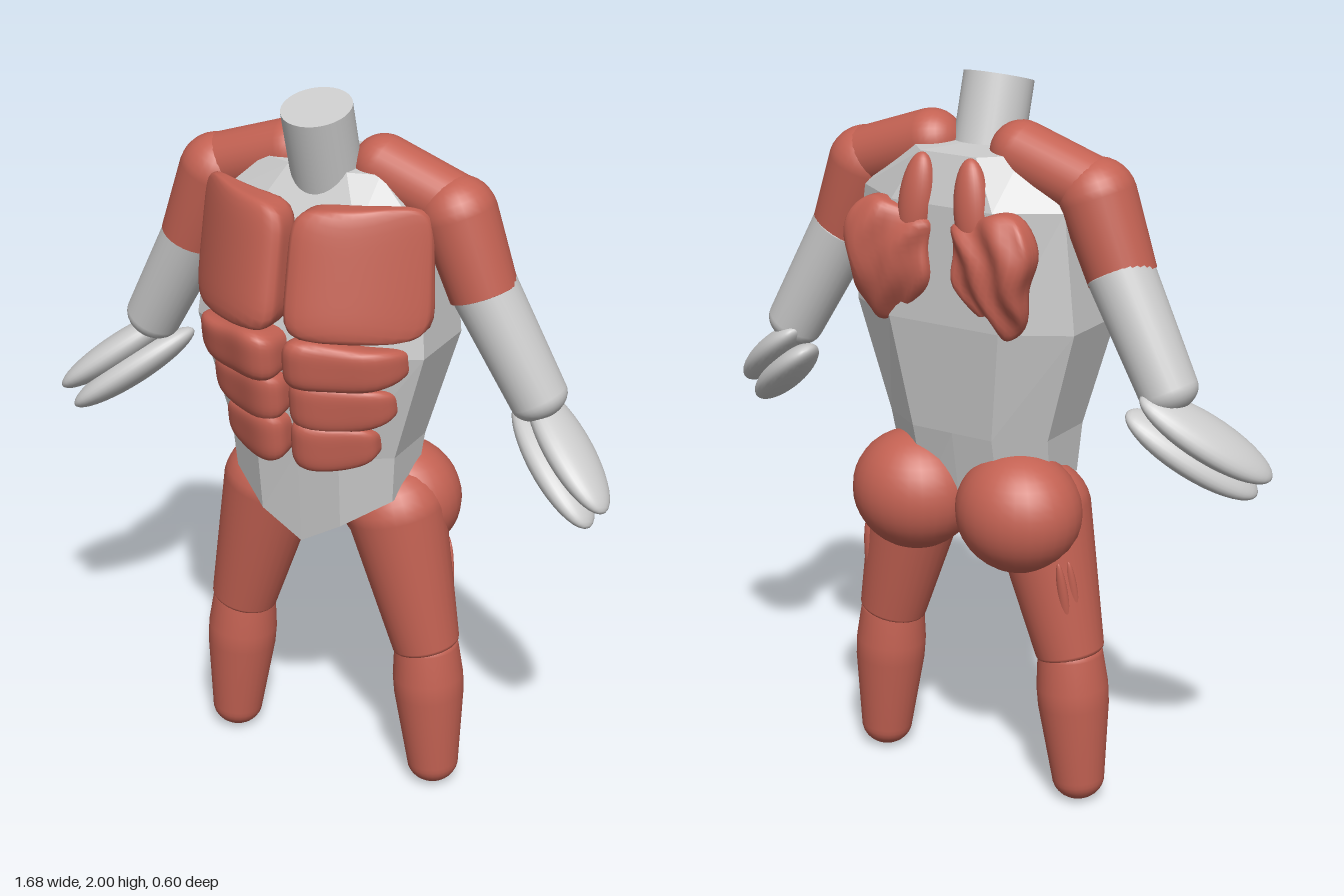
import * as THREE from 'three';

const grey = new THREE.MeshStandardMaterial({ color: 0xcccccc });
const facet = new THREE.MeshStandardMaterial({ color: 0xcccccc, flatShading: true });
const red = new THREE.MeshStandardMaterial({ color: 0xc46253 });
const UP = new THREE.Vector3(0, 1, 0);

function part(name, geometry, material) {
  const mesh = new THREE.Mesh(geometry, material);
  mesh.name = name;
  return mesh;
}

// Tapered limb from a to b with domed ends; mid holds [fraction, radius] pairs
function limb(name, material, a, b, ra, rb, { capA = 1, capB = 1, mid = [] } = {}) {
  const from = new THREE.Vector3(...a), dir = new THREE.Vector3(...b).sub(from);
  const len = dir.length(), pts = [], n = 8;
  for (let i = 0; i <= n; i++) {
    const t = (i / n) * Math.PI / 2;
    pts.push(new THREE.Vector2(ra * Math.sin(t), -ra * capA * Math.cos(t)));
  }
  mid.forEach(([f, r]) => pts.push(new THREE.Vector2(r, f * len)));
  for (let i = 0; i <= n; i++) {
    const t = (i / n) * Math.PI / 2;
    pts.push(new THREE.Vector2(rb * Math.cos(t), len + rb * capB * Math.sin(t)));
  }
  const mesh = part(name, new THREE.LatheGeometry(pts, 28), material);
  mesh.position.copy(from);
  mesh.quaternion.setFromUnitVectors(UP, dir.normalize());
  return mesh;
}

// Ellipsoid whose local y follows axis and local x follows side
function ellipsoid(name, material, centre, radii, axis = [0, 1, 0], side = [1, 0, 0]) {
  const mesh = part(name, new THREE.SphereGeometry(1, 28, 20).scale(...radii), material);
  const y = new THREE.Vector3(...axis).normalize();
  const x = new THREE.Vector3(...side);
  x.addScaledVector(y, -x.dot(y)).normalize();
  mesh.quaternion.setFromRotationMatrix(
    new THREE.Matrix4().makeBasis(x, y, new THREE.Vector3().crossVectors(x, y)));
  mesh.position.set(...centre);
  return mesh;
}

// Rounded block in [-1,1]^3 bent by rule(u, v, w) -> [x, y, z], mirrored by s
function muscle(name, s, power, rule) {
  const g = new THREE.SphereGeometry(1, 40, 28), p = g.attributes.position;
  for (let i = 0; i < p.count; i++) {
    const c = [p.getX(i), p.getY(i), p.getZ(i)];
    const k = c.reduce((sum, q) => sum + Math.abs(q) ** power, 0) ** (-1 / power);
    const [x, y, z] = rule(s * c[0] * k, c[1] * k, c[2] * k);
    p.setXYZ(i, s * x, y, z);
  }
  g.computeVertexNormals();
  return part(name, g, red);
}

// Faceted trunk lofted through ten-sided rings
function torso() {
  const rings = [ // y, half width, front z, back z
    [0.77, 0.24, 0.145, -0.13], [1.05, 0.25, 0.165, -0.18], [1.36, 0.34, 0.2, -0.22],
    [1.68, 0.31, 0.13, -0.225], [1.81, 0.17, 0.05, -0.19],
  ].map(([y, w, f, b], k) => {
    const half = [[0, f], [w / 2, f], [w, f * 0.5], [w, b * 0.55], [w / 2, b], [0, b]];
    const all = [...half, ...half.slice(1, 5).reverse().map(([x, z]) => [-x, z])];
    // the lowest ring rises to the hips in a V
    return all.map(([x, z]) => [x, k ? y : y + 0.6 * Math.abs(x), z]);
  });
  const pos = [], n = 10;
  const tri = (...c) => c.forEach((q) => pos.push(...q));
  for (let k = 0; k < rings.length - 1; k++) {
    for (let i = 0; i < n; i++) {
      const j = (i + 1) % n, lo = rings[k], hi = rings[k + 1];
      tri(lo[i], lo[j], hi[j]);
      tri(lo[i], hi[j], hi[i]);
    }
  }
  for (let i = 0; i < n; i++) {
    const j = (i + 1) % n, top = rings[rings.length - 1], low = rings[0];
    tri([0, 1.82, -0.06], top[i], top[j]);
    tri([0, 0.77, 0], low[j], low[i]);
  }
  const g = new THREE.BufferGeometry();
  g.setAttribute('position', new THREE.Float32BufferAttribute(pos, 3));
  g.computeVertexNormals();
  return part('torso', g, facet);
}

function sideParts(s) {
  const g = new THREE.Group();
  g.name = s > 0 ? 'leftSide' : 'rightSide';
  const X = (x, y, z) => [s * x, y, z];
  const mix = THREE.MathUtils.lerp;

  // Chest
  g.add(muscle('chestMuscle', s, 6, (u, v, w) => {
    const x = 0.176 + 0.165 * u - 0.01 * (u + 1) * v * 0.5;
    const front = 0.3 - 1.6 * x * x - 0.035 * (v + 1);
    const back = 0.13 - 0.8 * x * x - 0.01 * v;
    return [x, 1.585 + 0.172 * v + 0.012 * u * v * 0.5, mix(back, front, (w + 1) / 2)];
  }));

  // Three abdominal rows
  [[1.345, 0.295, 0.3], [1.218, 0.26, 0.255], [1.1, 0.215, 0.24]].forEach(([yc, len, zf], i) => {
    g.add(muscle('abdominal' + (i + 1), s, 4, (u, v, w) => {
      const x = 0.01 + len * (u + 1) / 2;
      const front = zf - 1.5 * x * x + 0.008 * Math.sin(28 * x) + 0.01 * v;
      const y = yc + v * (0.062 - 0.012 * u) + 0.006 * Math.sin(22 * x + i) + 0.012 * w * v;
      return [x, y, mix(0.13 - x * x, front, (w + 1) / 2)];
    }));
  });

  // Upper back
  g.add(muscle('backMuscle', s, 4, (u, v, w) => {
    const x = 0.155 + 0.135 * u * (0.86 + 0.14 * v) + 0.008 * Math.sin(5 * v);
    const y = 1.53 + 0.15 * v + 0.02 * Math.sin(3 * u + 0.5) * v - 0.015 * (1 - u * u);
    const back = -0.275 - 0.02 * u - 0.02 * v + 0.035 * v * v + 0.01 * Math.sin(7 * u + 4 * v);
    return [x, y, mix(-0.18, back, (1 - w) / 2)];
  }));
  g.add(ellipsoid('spineMuscle', red, X(0.085, 1.68, -0.21), [0.05, 0.13, 0.04], X(-0.1, 1, 0.1)));

  // Shoulder and arm
  g.add(limb('trapezius', red, X(0.14, 1.805, -0.055), X(0.36, 1.73, -0.05), 0.085, 0.085));
  g.add(limb('shoulder', red, X(0.36, 1.715, -0.045), X(0.437, 1.515, -0.045), 0.103, 0.092,
    { capB: 0.05 }));
  g.add(limb('arm', grey, X(0.432, 1.53, -0.05), X(0.592, 1.24, -0.07), 0.09, 0.079,
    { capA: 0.2, capB: 0.7 }));

  // Hand in two halves
  [-1, 1].forEach((d) => g.add(ellipsoid(d > 0 ? 'outerHand' : 'innerHand', grey,
    X(0.67 + 0.02 * d, 1.1 + 0.026 * d, -0.045), [0.046, 0.205, 0.085],
    X(0.27, -0.21, 0.18), X(0.63, 0.77, 0))));

  // Hip and leg
  g.add(ellipsoid('glute', red, X(0.168, 0.84, -0.11), [0.177, 0.168, 0.16]));
  g.add(limb('thigh', red, X(0.195, 0.83, -0.04), X(0.292, 0.44, -0.042), 0.138, 0.095,
    { capB: 0.3 }));
  g.add(limb('calf', red, X(0.294, 0.43, -0.043), X(0.322, 0.065, -0.04), 0.09, 0.073,
    { capA: 0.5, capB: 0.9, mid: [[0.25, 0.099], [0.4, 0.098]] }));
  [-1, 1].forEach((d) => g.add(ellipsoid('hamstring', red,
    X(0.325 - 0.008 * d, 0.605, -0.105 - 0.013 * d), [0.016, 0.125, 0.014],
    X(-0.06, 1, -0.17))));
  return g;
}

export function createModel() {
  const model = new THREE.Group();
  model.name = 'muscleFigure';
  model.add(torso());

  // Neck leaning forward
  const neck = part('neck', new THREE.CylinderGeometry(0.094, 0.094, 0.27, 32), grey);
  const lean = new THREE.Vector3(0, 0.96, 0.28).normalize();
  neck.quaternion.setFromUnitVectors(UP, lean);
  neck.position.set(0, 1.973, 0.055).addScaledVector(lean, -0.135);
  model.add(neck);

  model.add(sideParts(1), sideParts(-1));
  return model;
}
